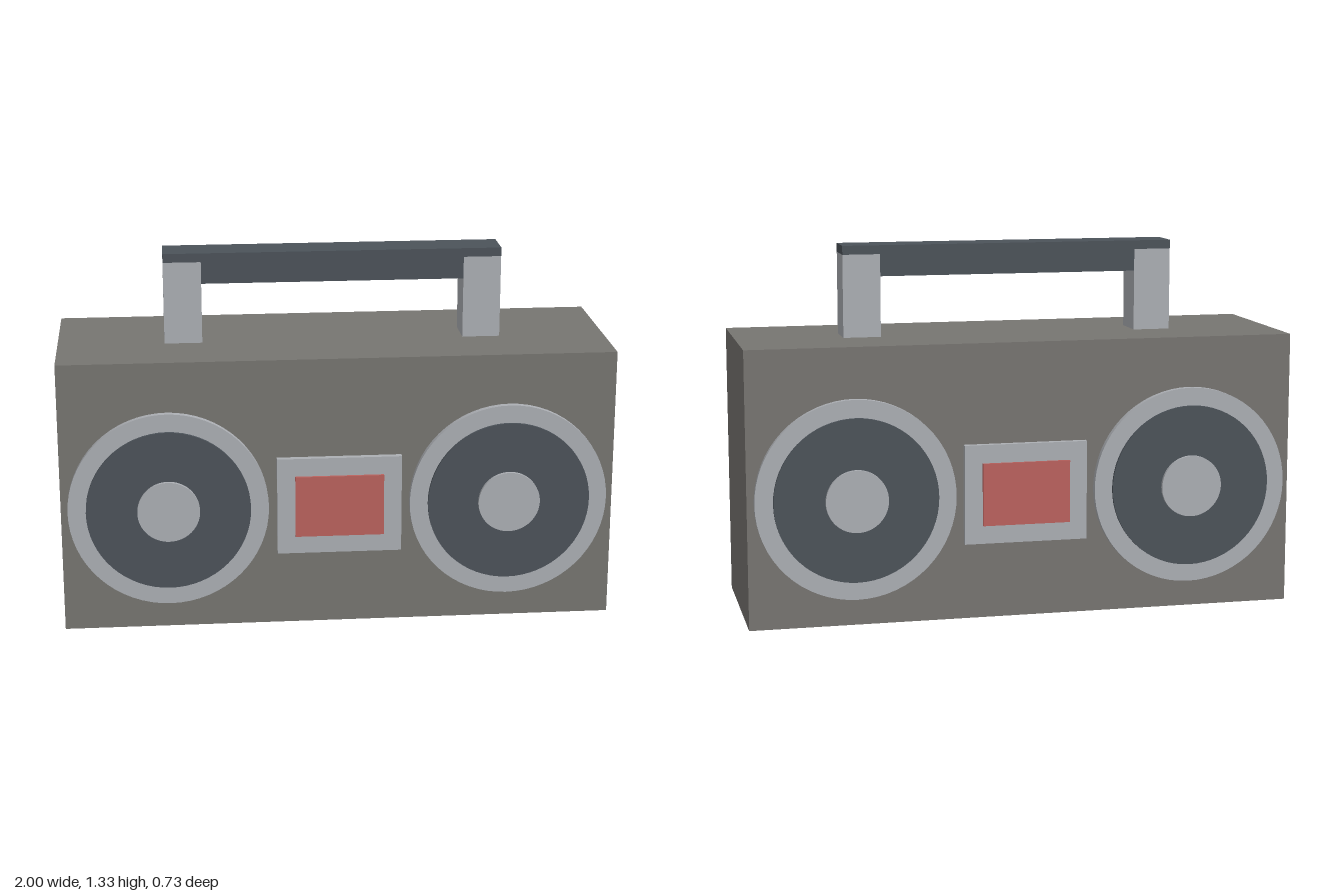
import * as THREE from 'three';

export function createModel() {
  const mat = (name, color) => {
    const m = new THREE.MeshStandardMaterial({ color });
    m.name = name;
    return m;
  };
  const casing = mat('casing grey', 0x777571);
  const silver = mat('silver', 0xacafb4);
  const dark = mat('dark slate', 0x4c535a);
  const red = mat('red', 0xbb625e);

  const model = new THREE.Group();
  model.name = 'portableStereo';

  const add = (parent, name, geometry, material, x, y, z) => {
    const mesh = new THREE.Mesh(geometry, material);
    mesh.name = name;
    mesh.position.set(x, y, z);
    parent.add(mesh);
    return mesh;
  };
  const box = (parent, name, material, w, h, d, x, y, z) =>
    add(parent, name, new THREE.BoxGeometry(w, h, d), material, x, y, z);

  // Casing
  const halfDepth = 0.32;
  box(model, 'casing', casing, 2, 1, halfDepth * 2, 0, 0.5, 0);

  // Handle: two posts, a grip between them and a cap over the full length
  const handle = new THREE.Group();
  handle.name = 'handle';
  model.add(handle);
  for (const side of [-1, 1]) {
    box(handle, 'handlePost', silver, 0.137, 0.3, 0.137, side * 0.545, 1.15, 0);
  }
  box(handle, 'handleGrip', dark, 0.953, 0.08, 0.137, 0, 1.26, 0);
  box(handle, 'handleCap', dark, 1.227, 0.032, 0.137, 0, 1.316, 0);

  // Discs stand proud of the casing, stacked from the rim to the centre cap
  const discs = [
    ['speakerRim', silver, 0.36, 0.023],
    ['speakerCone', dark, 0.295, 0.033],
    ['speakerCap', silver, 0.112, 0.046],
  ];

  // The same face of speakers and cassette deck on front and back
  const makeFace = (name) => {
    const face = new THREE.Group();
    face.name = name;
    for (const side of [-1, 1]) {
      const speaker = new THREE.Group();
      speaker.name = side > 0 ? 'leftSpeaker' : 'rightSpeaker';
      speaker.position.set(side * 0.615, 0.457, halfDepth);
      for (const [part, material, radius, depth] of discs) {
        const geometry = new THREE.CylinderGeometry(radius, radius, depth, 64).rotateX(Math.PI / 2);
        add(speaker, part, geometry, material, 0, 0, depth / 2);
      }
      face.add(speaker);
    }
    box(face, 'deckFrame', silver, 0.45, 0.36, 0.023, 0, 0.457, halfDepth + 0.0115);
    box(face, 'deckWindow', red, 0.32, 0.227, 0.033, 0, 0.457, halfDepth + 0.0165);
    return face;
  };
  const back = makeFace('backFace');
  back.rotation.y = Math.PI;
  model.add(makeFace('frontFace'), back);

  return model;
}
